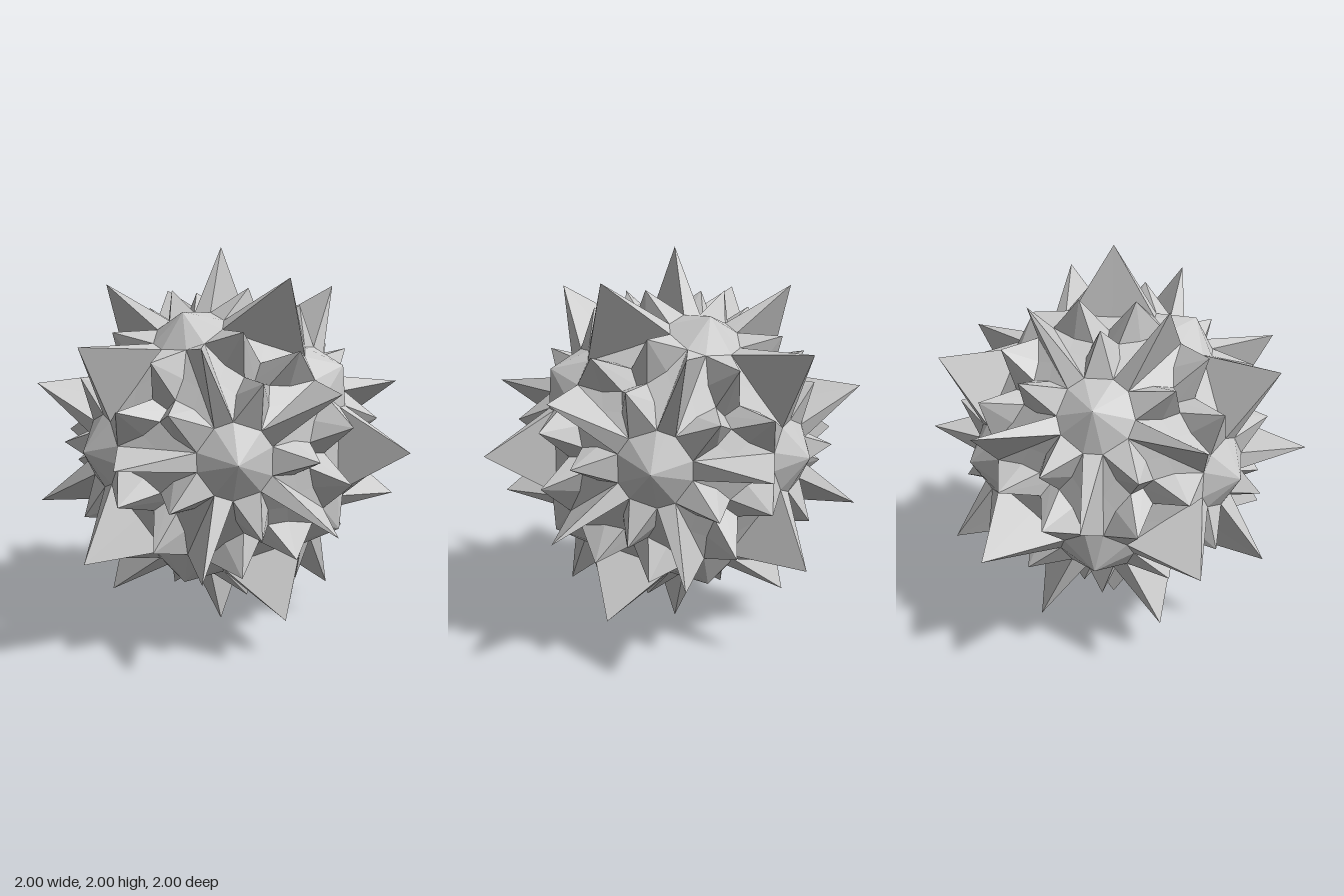
import * as THREE from 'three';

const V = (x, y, z) => new THREE.Vector3(x, y, z);

// Symmetry axes at the corners of one mirror cell: five-fold, two-fold, three-fold
const PHI = (1 + Math.sqrt(5)) / 2;
const five = V(PHI, 1, 0).normalize();
const two = V(1, 0, 0);
const three = V(PHI * PHI, 0, 1).normalize();

// Point at height h along an axis, moved rho sideways toward another axis
function point(axis, toward, h, rho) {
  const side = toward.clone().addScaledVector(axis, -axis.dot(toward)).normalize();
  return axis.clone().multiplyScalar(h).addScaledVector(side, rho);
}

// Key points of the cell: cap rim, spike tips and the valleys between them
const capTop = five.clone().multiplyScalar(0.777);
const rimAtLong = point(five, two, 0.674, 0.172);
const rimCorner = rimAtLong.clone().add(V(0, 0, 0.044));
const rimAtShort = point(five, three, 0.674, 0.165);
const longTip = two.clone();
const shortTip = point(five, three, 0.736, 0.367);
const longRoot = point(two, three, 0.66, 0.044);
const valley = V(0.645, 0.08, 0.1);
const pitEdge = point(three, two, 0.645, 0.07);
const pit = three.clone().multiplyScalar(0.6);

// Facets of one cell, grouped by part
const parts = {
  caps: [
    [capTop, rimAtLong, rimCorner],
    [capTop, rimCorner, rimAtShort],
  ],
  longSpikes: [
    [longTip, rimAtLong, rimCorner],
    [longTip, rimCorner, longRoot],
  ],
  shortSpikes: [
    [shortTip, rimAtShort, rimCorner],
    [shortTip, rimCorner, valley],
    [shortTip, valley, pitEdge],
    [shortTip, pitEdge, pit],
  ],
  valleyFloors: [
    [rimCorner, longRoot, valley],
    [longRoot, pitEdge, valley],
  ],
};

// The 120 symmetries: five turns, three axis cycles, eight sign flips
function copies(p) {
  const out = [];
  for (let k = 0; k < 5; k++) {
    const q = p.clone().applyAxisAngle(five, (k * Math.PI * 2) / 5);
    for (const [x, y, z] of [[q.x, q.y, q.z], [q.y, q.z, q.x], [q.z, q.x, q.y]]) {
      for (const sx of [1, -1]) for (const sy of [1, -1]) for (const sz of [1, -1]) {
        out.push(V(x * sx, y * sy, z * sz));
      }
    }
  }
  return out;
}

function buildPart(facets) {
  const positions = [];
  for (const facet of facets) {
    const [as, bs, cs] = facet.map(copies);
    as.forEach((a, i) => {
      let b = bs[i], c = cs[i];
      // turn every facet outward
      const normal = b.clone().sub(a).cross(c.clone().sub(a));
      if (normal.dot(a) < 0) [b, c] = [c, b];
      for (const p of [a, b, c]) positions.push(p.x, p.y, p.z);
    });
  }
  const geometry = new THREE.BufferGeometry();
  geometry.setAttribute('position', new THREE.Float32BufferAttribute(positions, 3));
  geometry.computeVertexNormals();
  return geometry;
}

export function createModel() {
  const group = new THREE.Group();
  group.name = 'spikedStar';
  const material = new THREE.MeshStandardMaterial({ color: 0xcccccc, flatShading: true });
  for (const [name, facets] of Object.entries(parts)) {
    const mesh = new THREE.Mesh(buildPart(facets), material);
    mesh.name = name;
    mesh.position.y = 1;
    group.add(mesh);
  }
  return group;
}
